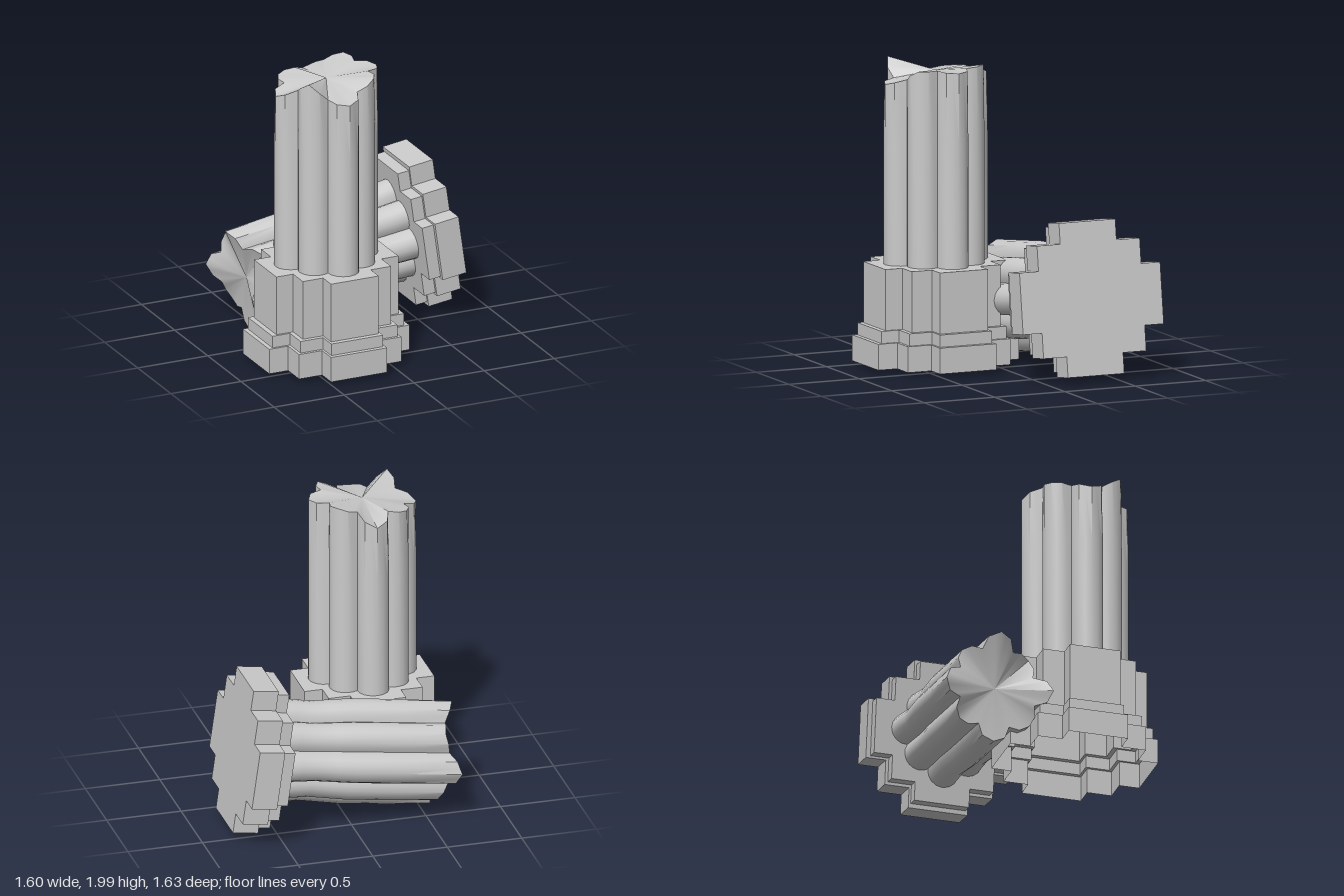
import * as THREE from 'three';
import { toCreasedNormals } from 'three/addons/utils/BufferGeometryUtils.js';

const material = new THREE.MeshStandardMaterial({ color: 0xcccccc, side: THREE.DoubleSide });

// Skin through rings of equal point count; optional fans close the ends.
function loft(rings, bottomCentre, topCentre, crease) {
  const n = rings[0].length;
  const points = rings.flat();
  const index = [];
  for (let r = 0; r < rings.length - 1; r++) {
    for (let i = 0; i < n; i++) {
      const a = r * n + i, b = r * n + (i + 1) % n;
      index.push(a, a + n, b + n, a, b + n, b);
    }
  }
  const fan = (centre, start, up) => {
    const c = points.push(centre) - 1;
    for (let i = 0; i < n; i++) {
      const a = start + i, b = start + (i + 1) % n;
      index.push(c, up ? b : a, up ? a : b);
    }
  };
  const last = (rings.length - 1) * n;
  if (bottomCentre) fan(bottomCentre, 0, false);
  if (topCentre) fan(topCentre, last, true);
  const g = new THREE.BufferGeometry().setFromPoints(points);
  g.setIndex(index);
  return toCreasedNormals(g, crease);
}

// Twice-notched cross outline: arm length, arm half width, notch corner.
function crossRing([arm, half, notch], y) {
  const quarter = [[arm, half], [notch, half], [notch, notch], [half, notch], [half, arm]];
  const ring = [];
  for (let q = 0; q < 4; q++) {
    for (const [x, z] of quarter) {
      ring.push(new THREE.Vector3(x, y, z).applyAxisAngle(new THREE.Vector3(0, 1, 0), -q * Math.PI / 2));
    }
  }
  return ring;
}

// Stepped base; tiers are { size, top }.
function makeBase(tiers, closed) {
  const rings = [];
  let y = 0;
  for (const { size, top } of tiers) {
    rings.push(crossRing(size, y), crossRing(size, top));
    y = top;
  }
  const bottom = closed ? new THREE.Vector3() : null;
  const mesh = new THREE.Mesh(loft(rings, bottom, new THREE.Vector3(0, y, 0), 0.1), material);
  mesh.name = 'steppedBase';
  return mesh;
}

// Eight-lobed outline, diagonal lobes shallower than the four main ones.
// chip = 1 turns each round lobe into four flat facets.
const LOBES = 8, SEGS = 8;
function lobeRing(scale, chip, height) {
  const ring = [];
  for (let k = 0; k < LOBES; k++) {
    const [centre, radius, sweep] = k % 2 ? [0.222, 0.107, 1.31] : [0.257, 0.1036, 1.643];
    const onArc = (j) => {
      const a = sweep * (2 * j / SEGS - 1);
      return new THREE.Vector2(centre + radius * Math.cos(a), radius * Math.sin(a));
    };
    for (let j = 0; j < SEGS; j++) {
      const knot = j - j % 2;
      const flat = onArc(knot).lerp(onArc(knot + 2), (j - knot) / 2);
      const p = onArc(j).lerp(flat, chip).multiplyScalar(scale)
        .rotateAround(new THREE.Vector2(), k * Math.PI * 2 / LOBES);
      ring.push(new THREE.Vector3(p.x, height(k, 2 * j / SEGS - 1), p.y));
    }
  }
  return ring;
}

// Shaft from [height, scale] rings up to a jagged broken end.
// ends alternates the height of each lobe and of the valley after it.
function makeShaft(profile, ends, centre) {
  const rings = profile.map(([y, scale]) => lobeRing(scale, 0, () => y));
  const count = ends.length;
  rings.push(lobeRing(1, 1, (k, s) => {
    const valley = ends[(2 * k + Math.sign(s) + count) % count];
    return THREE.MathUtils.lerp(ends[2 * k], valley, Math.abs(s));
  }));
  const mesh = new THREE.Mesh(loft(rings, null, new THREE.Vector3(0, centre, 0), 0.6), material);
  mesh.name = 'brokenShaft';
  return mesh;
}

export function createModel() {
  const model = new THREE.Group();
  model.name = 'ruinedColumns';

  const plinth = { size: [0.5, 0.2, 0.365], top: 0.17 };
  const step = { size: [0.47, 0.185, 0.345], top: 0.25 };
  const pedestal = { size: [0.435, 0.17, 0.315], top: 0.65 };

  // Upright column, hollow under its base
  const standing = new THREE.Group();
  standing.name = 'standingColumn';
  standing.position.set(-0.305, 0.03, 0.315);
  standing.add(
    makeBase([plinth, step, pedestal], false),
    makeShaft(
      [[0.65, 1], [1.48, 1]],
      [1.93, 1.94, 1.94, 1.87, 1.83, 1.85, 1.97, 1.89, 1.83, 1.87, 1.88, 1.9, 1.84, 1.92, 1.955, 1.94],
      1.9
    )
  );

  // Toppled column, slightly waisted near its base
  const fallen = new THREE.Group();
  fallen.name = 'fallenColumn';
  fallen.position.set(0.73, 0.55, -0.315);
  fallen.rotation.z = THREE.MathUtils.degToRad(98);
  fallen.add(
    makeBase([plinth, step], true),
    makeShaft(
      [[0.24, 1], [0.36, 0.975], [0.47, 0.95], [0.6, 0.975], [0.73, 1], [1.08, 1]],
      [1.42, 1.36, 1.28, 1.34, 1.45, 1.4, 1.36, 1.34, 1.35, 1.34, 1.34, 1.39, 1.44, 1.37, 1.33, 1.36],
      1.32
    )
  );

  model.add(standing, fallen);
  return model;
}
